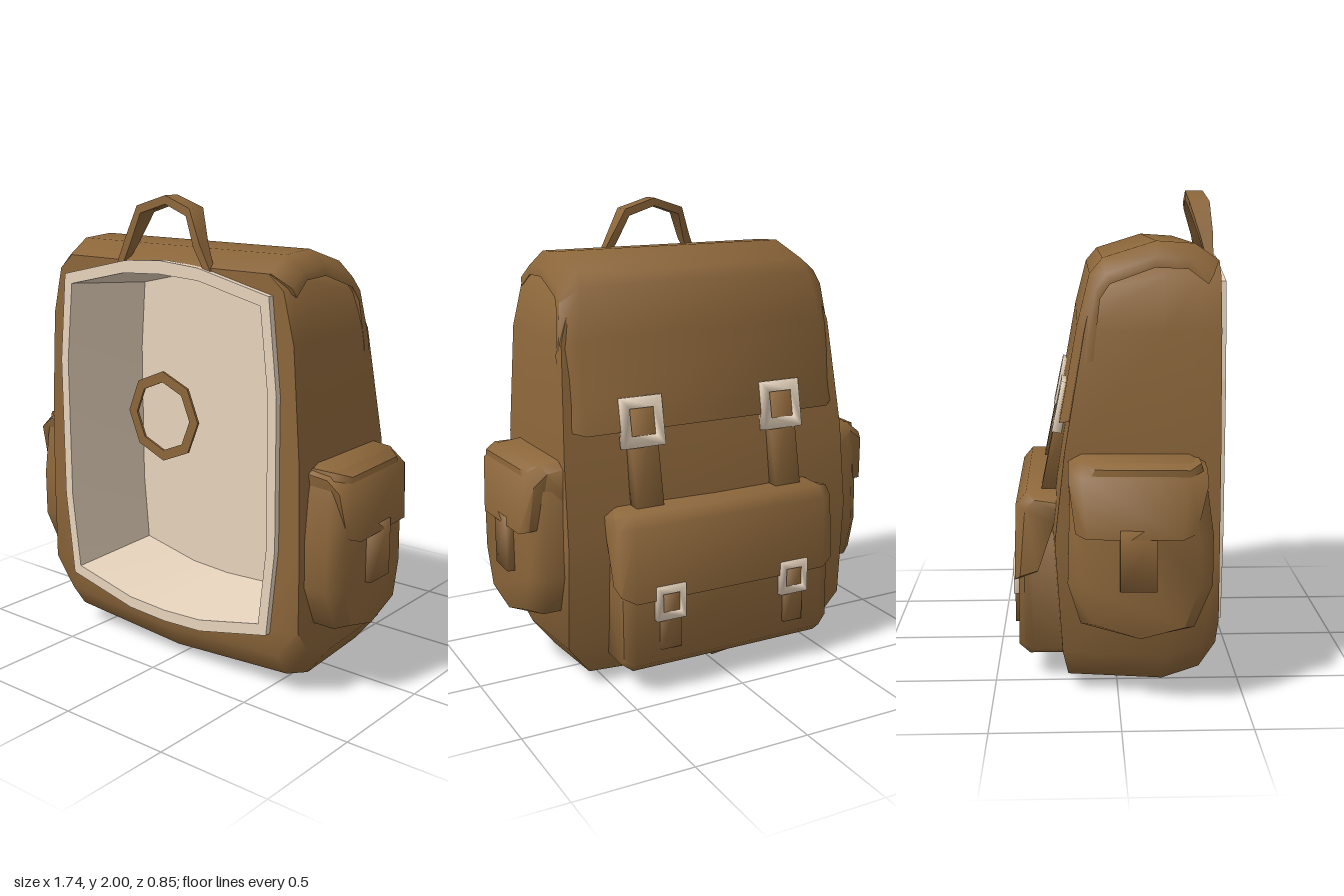
import * as THREE from 'three';
import { toCreasedNormals } from 'three/addons/utils/BufferGeometryUtils.js';

const leather = new THREE.MeshStandardMaterial({ color: 0x8c663a });
leather.name = 'brown leather';
const cream = new THREE.MeshStandardMaterial({ color: 0xe6d3bc });
cream.name = 'cream lining and buckles';

// Skin a list of closed rings (arrays of Vector3); caps are strips, so thin sheets close too.
function loft(rings, { start = true, end = true, inward = false } = {}) {
  const tris = [];
  const quad = (a, b, c, d) => tris.push([a, b, c], [a, c, d]);
  const n = rings[0].length;
  for (let r = 0; r < rings.length - 1; r++) {
    const p = rings[r], q = rings[r + 1];
    for (let i = 0; i < n; i++) {
      const j = (i + 1) % n;
      quad(p[i], p[j], q[j], q[i]);
    }
  }
  const cap = (p, flip) => {
    for (let i = 0; i < n / 2 - 1; i++) {
      const c = [p[i], p[i + 1], p[n - 2 - i], p[n - 1 - i]];
      quad(...(flip ? c.reverse() : c));
    }
  };
  if (start) cap(rings[0], true);
  if (end) cap(rings[rings.length - 1], false);
  // Signed volume decides which way the faces point
  const o = rings[0].reduce((s, v) => s.add(v), new THREE.Vector3()).divideScalar(n);
  let volume = 0;
  for (const [a, b, c] of tris) {
    volume += a.clone().sub(o).dot(b.clone().sub(o).cross(c.clone().sub(o)));
  }
  const flip = (volume < 0) !== inward;
  const pos = [];
  for (const [a, b, c] of tris) for (const v of flip ? [a, c, b] : [a, b, c]) pos.push(v.x, v.y, v.z);
  const g = new THREE.BufferGeometry();
  g.setAttribute('position', new THREE.Float32BufferAttribute(pos, 3));
  return toCreasedNormals(g, 1.1);
}

function add(parent, name, geometry, material) {
  const mesh = new THREE.Mesh(geometry, material);
  mesh.name = name;
  parent.add(mesh);
  return mesh;
}

// Right half of an outline, bottom to top, mirrored into a closed one
const mirrored = (half) => [...half, ...half.slice(1, -1).reverse().map(([x, y]) => [-x, y])];
const atZ = (outline, z) => outline.map(([x, y]) => new THREE.Vector3(x, y, z));
const toShape = (pts) => new THREE.Shape(pts.map(([x, y]) => new THREE.Vector2(x, y)));
const soft = (geometry) => toCreasedNormals(geometry, Math.PI);

// Move a point of a profile towards a centre by a distance
function inset([z, y], [cz, cy], d) {
  const l = Math.hypot(cz - z, cy - y);
  return [z + ((cz - z) / l) * d, y + ((cy - y) / l) * d];
}

// Loft a [z, y] profile across x, with its ends inset
function across(profile, centre, half, bevel, drop, flare = () => 0) {
  const stations = [[-half, drop], [bevel - half, 0], [half - bevel, 0], [half, drop]];
  return loft(stations.map(([x, d]) => profile.map((p) => {
    const [z, y] = inset(p, centre, d);
    return new THREE.Vector3(x + Math.sign(x) * flare(y), y, z);
  })));
}

// Depth of the sloping back at a height
function backZ(y) {
  const pts = [[0, -0.19], [0.17, -0.22], [0.64, -0.25], [1.1, -0.198], [1.47, -0.13], [1.75, -0.07]];
  let i = 0;
  while (i < pts.length - 2 && y > pts[i + 1][0]) i++;
  const [y0, z0] = pts[i], [y1, z1] = pts[i + 1];
  return z0 + ((z1 - z0) * (y - y0)) / (y1 - y0);
}

function bodyGeometry() {
  const mouth = mirrored([[0, 0.21], [0.5, 0.285], [0.555, 0.4], [0.57, 0.65], [0.57, 1.0], [0.565, 1.3], [0.535, 1.6], [0.49, 1.65], [0, 1.72]]);
  const half = [[0, 0], [0.59, 0.04], [0.69, 0.17], [0.69, 0.64], [0.683, 1.0], [0.65, 1.47], [0.6, 1.68], [0.53, 1.74], [0, 1.74]];
  const outline = (lift, drop) =>
    mirrored(half.map(([x, y], i) => [x, y + (i < 3 ? lift : 0) - (i > 5 ? drop : 0)]));
  const last = outline(0.02, 0.06);
  const bulge = (y) => (y < 0.8 ? 0.035 : y < 1.1 ? 0.02 : 0);
  return loft([
    atZ(mouth, 0.397),
    atZ(outline(0.15, 0.01), 0.397),
    atZ(outline(0.05, 0), 0.33),
    atZ(outline(0, 0), 0.18),
    last.map(([x, y]) => new THREE.Vector3(x * 0.985, y, backZ(y))),
    last.map(([, y]) => new THREE.Vector3(0, y, backZ(y) - bulge(y))),
  ], { start: false, end: false });
}

// Square buckle with a strap passing through it
function buckle(name, w, h, strapW, strapH, strapY) {
  const g = new THREE.Group();
  g.name = name;
  const s = toShape([[-w / 2, -h / 2], [w / 2, -h / 2], [w / 2, h / 2], [-w / 2, h / 2]]);
  const a = w * 0.29, b = h * 0.27;
  s.holes.push(toShape([[-a, -b], [-a, b], [a, b], [a, -b]]));
  const frame = new THREE.ExtrudeGeometry(s, { depth: 0.04, bevelEnabled: false });
  add(g, 'buckleFrame', soft(frame.translate(0, 0, -0.0175)), cream);
  add(g, 'strap', soft(new THREE.BoxGeometry(strapW, strapH, 0.06).translate(0, strapY, 0.018)), leather);
  return g;
}

function sidePocket(side) {
  const g = new THREE.Group();
  g.name = side > 0 ? 'leftPocket' : 'rightPocket';
  // The outer face turns slightly inward to the back
  const point = (x, y, z) => new THREE.Vector3(side * (x > 0.7 ? x - (0.25 - z) * 0.06 : x), y, z);
  const outline = [[0.31, 0.98], [-0.14, 0.98], [-0.19, 0.88], [-0.2, 0.5], [-0.15, 0.34], [0.08, 0.28],
    [0.29, 0.33], [0.36, 0.5], [0.36, 0.7], [0.335, 0.88]];
  const rings = [[0.6, 1, 1], [0.785, 1, 1], [0.84, 0.8, 0.95]].map(([x, sz, sy]) =>
    outline.map(([z, y]) => point(x, 0.64 + (y - 0.64) * sy, 0.08 + (z - 0.08) * sz)));
  add(g, 'pocketBag', loft(rings), leather);
  // Cover folded over the pocket, with a closing tab
  const fold = [[0.62, 1.0], [0.78, 0.985], [0.85, 0.93], [0.87, 0.7], [0.82, 0.7], [0.62, 0.85]];
  const ends = [[-0.195, 0.03], [-0.145, 0], [0.27, 0], [0.335, 0.035]];
  add(g, 'pocketCover', loft(ends.map(([z, d]) => fold.map((p) => {
    const [x, y] = inset(p, [0.7, 0.8], d);
    return point(x, y, y < 0.75 ? z * 0.87 : z);
  }))), leather);
  add(g, 'pocketTab', soft(new THREE.BoxGeometry(0.035, 0.24, 0.14)), leather).position.set(side * 0.84, 0.615, 0.07);
  return g;
}

export function createModel() {
  const model = new THREE.Group();
  model.name = 'backpack';
  add(model, 'body', bodyGeometry(), leather);

  // Open front: rim, lined hollow and ring
  const rimOuter = mirrored([[0, 0.19], [0.2, 0.2], [0.55, 0.28], [0.59, 0.65], [0.59, 1.27], [0.55, 1.65], [0.2, 1.73], [0, 1.745]]);
  const rimInner = mirrored([[0, 0.24], [0.2, 0.25], [0.51, 0.32], [0.548, 0.65], [0.548, 1.27], [0.51, 1.61], [0.2, 1.68], [0, 1.69]]);
  const floor = mirrored([[0, 0.28], [0.2, 0.29], [0.485, 0.35], [0.51, 0.65], [0.51, 1.27], [0.485, 1.575], [0.2, 1.64], [0, 1.65]]);
  const rim = toShape(rimOuter);
  rim.holes.push(toShape([...rimInner].reverse()));
  add(model, 'openingRim', new THREE.ExtrudeGeometry(rim, { depth: 0.033, bevelEnabled: false }).translate(0, 0, 0.39), cream);
  add(model, 'lining', loft([atZ(rimInner, 0.415), atZ(floor, -0.01)], { start: false, inward: true }), cream);
  const octagon = (r) => Array.from({ length: 8 }, (_, i) => [r * Math.cos((i * Math.PI) / 4), r * Math.sin((i * Math.PI) / 4)]);
  const ring = toShape(octagon(0.19));
  ring.holes.push(toShape(octagon(0.145).reverse()));
  add(model, 'frontRing', new THREE.ExtrudeGeometry(ring, { depth: 0.01, bevelEnabled: false }).translate(0, 1.1, 0.405), leather);

  // Large lid folded over the top and back
  const lid = [[0.395, 1.73], [0.3, 1.795], [0.15, 1.805], [-0.06, 1.74], [-0.11, 1.68], [-0.16, 1.48], [-0.207, 1.22], [-0.23, 1.1]];
  const lidCentre = [0.1, 1.2];
  const lidLoop = [...lid, ...lid.map((p) => inset(p, lidCentre, 0.04)).reverse()];
  const lidFlare = (y) => Math.min(0.04, Math.max(0, 1.73 - y) * 0.16);
  add(model, 'lid', across(lidLoop, lidCentre, 0.61, 0.07, 0.06, lidFlare), leather);

  // Carrying handle, widest at its top
  const side = [[0.265, 1.69, 0.385, 0.405], [0.2, 1.82, 0.355, 0.41], [0.14, 1.955, 0.315, 0.4]];
  const path = [...side, [0, 2.0, 0.31, 0.385], ...[...side].reverse().map(([x, ...rest]) => [-x, ...rest])];
  add(model, 'handle', loft(path.map(([x, y, back, front]) => {
    const [ix, iy] = inset([x, y], [0, 1.72], 0.035);
    return [[x, y, front], [x, y, back], [ix, iy, back], [ix, iy, front]].map((v) => new THREE.Vector3(...v));
  })), leather);

  // Back pocket and its cover
  const bag = [[-0.18, 0.72], [-0.36, 0.72], [-0.4, 0.66], [-0.405, 0.14], [-0.36, 0.1], [-0.18, 0.1]];
  add(model, 'backPocket', across(bag, [-0.2, 0.4], 0.5, 0.05, 0.04), leather);
  const cover = [[-0.2, 0.79], [-0.37, 0.79], [-0.412, 0.74], [-0.42, 0.42], [-0.34, 0.44], [-0.29, 0.66], [-0.2, 0.66]];
  add(model, 'backPocketCover', across(cover, [-0.2, 0.7], 0.515, 0.06, 0.04), leather);

  // Buckled straps and side pockets, left and right
  for (const s of [-1, 1]) {
    const upper = buckle('lidBuckle', 0.19, 0.21, 0.125, 0.43, -0.155);
    upper.position.set(s * 0.335, 1.135, -0.225);
    upper.rotation.x = 0.2;
    const lower = buckle('pocketBuckle', 0.135, 0.15, 0.09, 0.27, -0.07);
    lower.position.set(s * 0.3, 0.405, -0.411);
    model.add(upper, lower, sidePocket(s));
  }
  return model;
}
